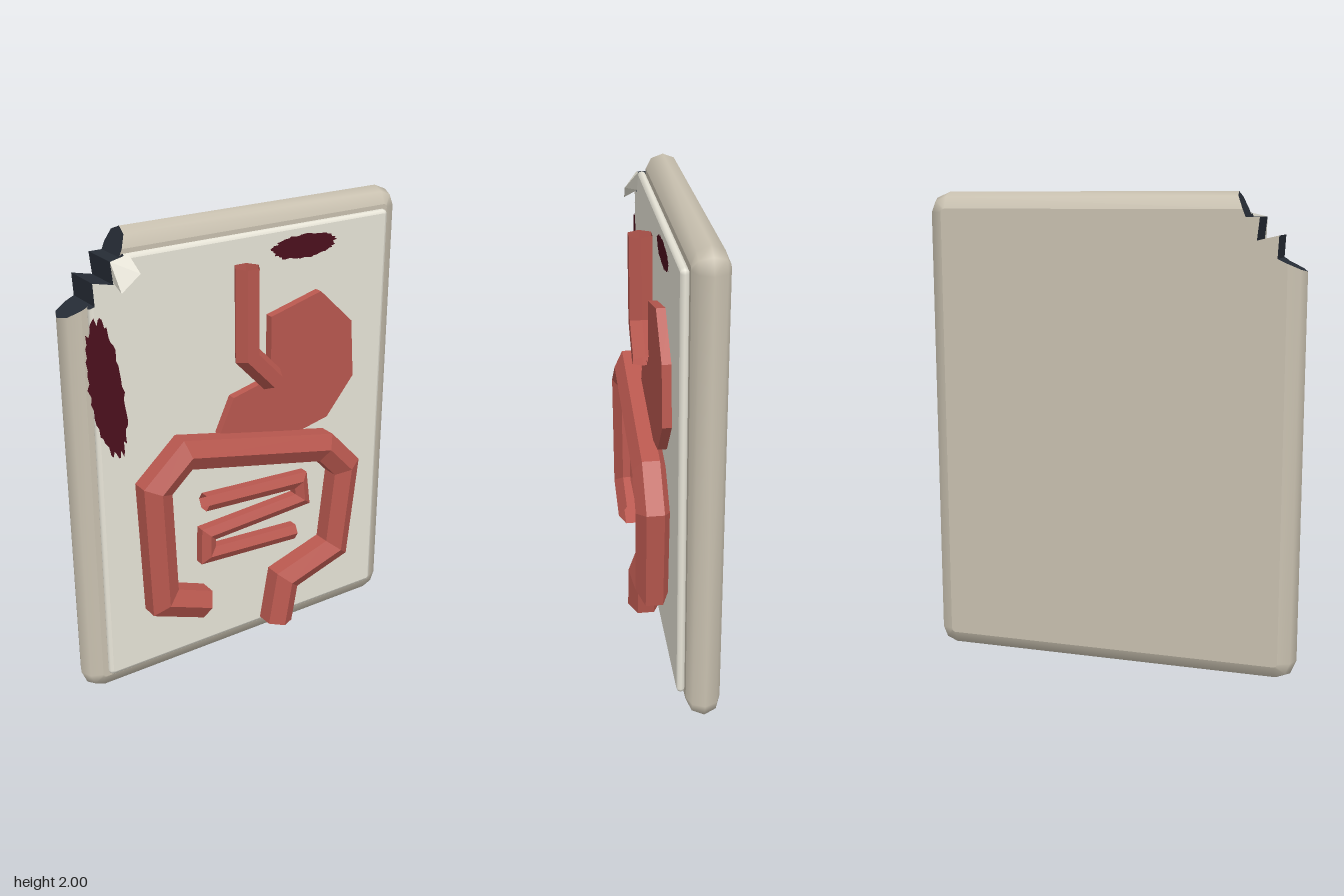
import * as THREE from 'three';
import { ConvexGeometry } from 'three/addons/geometries/ConvexGeometry.js';

const mat = (color, opts = {}) => new THREE.MeshStandardMaterial({ color, ...opts });
const add = (group, name, geometry, material) => {
  const mesh = new THREE.Mesh(geometry, material);
  mesh.name = name;
  group.add(mesh);
  return mesh;
};

// Jagged break across the top corner, from the top edge to the side edge
const JAG = [[-0.52, 2], [-0.562, 1.9], [-0.618, 1.9], [-0.608, 1.81],
  [-0.695, 1.83], [-0.69, 1.74], [-0.8, 1.69]];

function jagLine(left, top) {
  const pts = JAG.map(p => [...p]);
  const [a, b] = JAG, [c, d] = JAG.slice(-2);
  pts[0] = [a[0] + (b[0] - a[0]) * (top - a[1]) / (b[1] - a[1]), top];
  pts[6] = [left, c[1] + (d[1] - c[1]) * (left - c[0]) / (d[0] - c[0])];
  return pts;
}

// Surface through equal-length rows of points
function skin(rows) {
  const n = rows[0].length, index = [];
  for (let j = 0; j < rows.length - 1; j++)
    for (let i = 0; i < n - 1; i++) {
      const a = j * n + i;
      index.push(a, a + 1, a + n, a + 1, a + n + 1, a + n);
    }
  const g = new THREE.BufferGeometry();
  g.setAttribute('position', new THREE.Float32BufferAttribute(rows.flat(2), 3));
  g.setIndex(index);
  g.computeVertexNormals();
  return g;
}

// Round-edged plate with one broken corner
function brokenPlate(name, { w, y0, y1, z0, z1, radius, material, breakMaterial }) {
  const group = new THREE.Group();
  group.name = name;
  const half = (z1 - z0) / 2, mid = (z0 + z1) / 2, rim = [], cut = [];
  const STEPS = 4, CORNER = 2;
  let face;
  for (let s = 0; s <= STEPS; s++) {
    const a = (s / STEPS - 0.5) * Math.PI;
    const d = half * (1 - Math.cos(a)), z = mid + half * Math.sin(a);
    const r = radius - d, jag = jagLine(-w + d, y1 - d);
    const outline = [jag[6]];
    [[-1, y0 + radius, Math.PI], [1, y0 + radius, 1.5 * Math.PI], [1, y1 - radius, 0]]
      .forEach(([side, cy, start]) => {
        for (let k = 0; k <= CORNER; k++) {
          const t = start + k / CORNER * Math.PI / 2;
          outline.push([side * (w - radius) + r * Math.cos(t), cy + r * Math.sin(t)]);
        }
      });
    outline.push(jag[0]);
    rim.push(outline.map(p => [p[0], p[1], z]));
    cut.push(jag.map(p => [p[0], p[1], z]));
    face = [...outline, ...jag.slice(1, 6)];
  }
  add(group, 'roundedRim', skin(rim), material);
  add(group, 'brokenEdge', skin(cut), breakMaterial);
  const cap = new THREE.ShapeGeometry(new THREE.Shape(face.map(p => new THREE.Vector2(...p))));
  const back = cap.clone().scale(1, 1, -1);
  back.index.array.reverse();
  back.computeVertexNormals();
  add(group, 'frontFace', cap.translate(0, 0, z1), material);
  add(group, 'backFace', back.translate(0, 0, z0), material);
  return group;
}

// Open six-sided tube swept along a flat path with mitred corners
function hexTube(points, radius, z, turn) {
  const path = points.map(p => new THREE.Vector2(...p));
  const rows = path.map((p, i) => {
    const din = p.clone().sub(path[Math.max(i - 1, 0)]).normalize();
    const dout = path[Math.min(i + 1, path.length - 1)].clone().sub(p).normalize();
    const t = din.clone().add(dout).normalize();
    const stretch = 1 / t.dot(i ? din : dout);
    const ring = [];
    for (let k = 0; k <= 6; k++) {
      const a = turn + k * Math.PI / 3, u = radius * Math.cos(a) * stretch;
      ring.push([p.x - t.y * u, p.y + t.x * u, z + radius * Math.sin(a)]);
    }
    return ring;
  });
  return skin(rows);
}

// Flat stain with a ragged outline
function stain(rx, ry, seed) {
  let s = seed;
  const rnd = () => (s = (s * 16807) % 2147483647) / 2147483647;
  const pts = [];
  for (let i = 0; i < 60; i++) {
    const a = i / 60 * Math.PI * 2, k = 0.86 + 0.16 * rnd();
    pts.push(new THREE.Vector2(rx * k * Math.cos(a), ry * k * Math.sin(a)));
  }
  return new THREE.ShapeGeometry(new THREE.Shape(pts));
}

export function createModel() {
  const model = new THREE.Group();
  model.name = 'anatomyPlaque';
  const flesh = mat(0xb9584f, { flatShading: true, side: THREE.DoubleSide });
  const ivory = mat(0xe8e5d8);
  const dark = mat(0x262c35, { flatShading: true, side: THREE.DoubleSide });
  const blood = mat(0x4c101d, { side: THREE.DoubleSide });

  // Backing slab and thin front panel
  model.add(brokenPlate('slab', { w: 0.8, y0: 0, y1: 2, z0: -0.155, z1: -0.015,
    radius: 0.085, material: mat(0xc9c1b0), breakMaterial: dark }));
  model.add(brokenPlate('panel', { w: 0.712, y0: 0.088, y1: 1.917, z0: -0.015, z1: 0.018,
    radius: 0.022, material: ivory, breakMaterial: dark }));

  // Splinter bent forward at the break
  const chip = [[-0.54, 1.918, 0.018], [-0.618, 1.9, 0.018], [-0.608, 1.82, 0.015],
    [-0.525, 1.855, 0.08], [-0.605, 1.79, 0.075]].map(p => new THREE.Vector3(...p));
  add(model, 'splinter', new ConvexGeometry(chip), mat(0xe0ddd0, { flatShading: true }));

  // Stomach
  const stomach = new THREE.Shape([[0.085, 1.565], [0.335, 1.63], [0.503, 1.47], [0.522, 1.215],
    [0.385, 1.05], [0.25, 1.02], [-0.17, 1.1], [-0.1, 1.25], [0.085, 1.295]]
    .map(p => new THREE.Vector2(...p)));
  add(model, 'stomach', new THREE.ExtrudeGeometry(stomach, { depth: 0.055, bevelEnabled: false }), flesh);

  // Gullet with a flat front
  add(model, 'gullet', hexTube([[-0.045, 1.8], [-0.045, 1.43], [0.08, 1.3]], 0.055, 0.07, 0), flesh);

  // Intestines with a ridge along the front
  add(model, 'largeIntestine', hexTube([[-0.278, 0.35], [-0.483, 0.43], [-0.503, 0.955],
    [-0.36, 1.082], [0.34, 0.935], [0.46, 0.808], [0.415, 0.413], [0.143, 0.328], [0.106, 0.12]],
    0.073, 0.08, Math.PI / 6), flesh);
  add(model, 'smallIntestine', hexTube([[-0.255, 0.815], [0.233, 0.79], [0.245, 0.695],
    [-0.245, 0.665], [-0.248, 0.565], [0.207, 0.54]], 0.04, 0.06, Math.PI / 6), flesh);

  // Stains
  const side = add(model, 'sideStain', stain(0.077, 0.31, 77), blood);
  side.position.set(-0.66, 1.395, 0.021);
  side.rotation.z = 0.13;
  add(model, 'topStain', stain(0.17, 0.053, 911), blood).position.set(0.27, 1.825, 0.021);

  return model;
}
